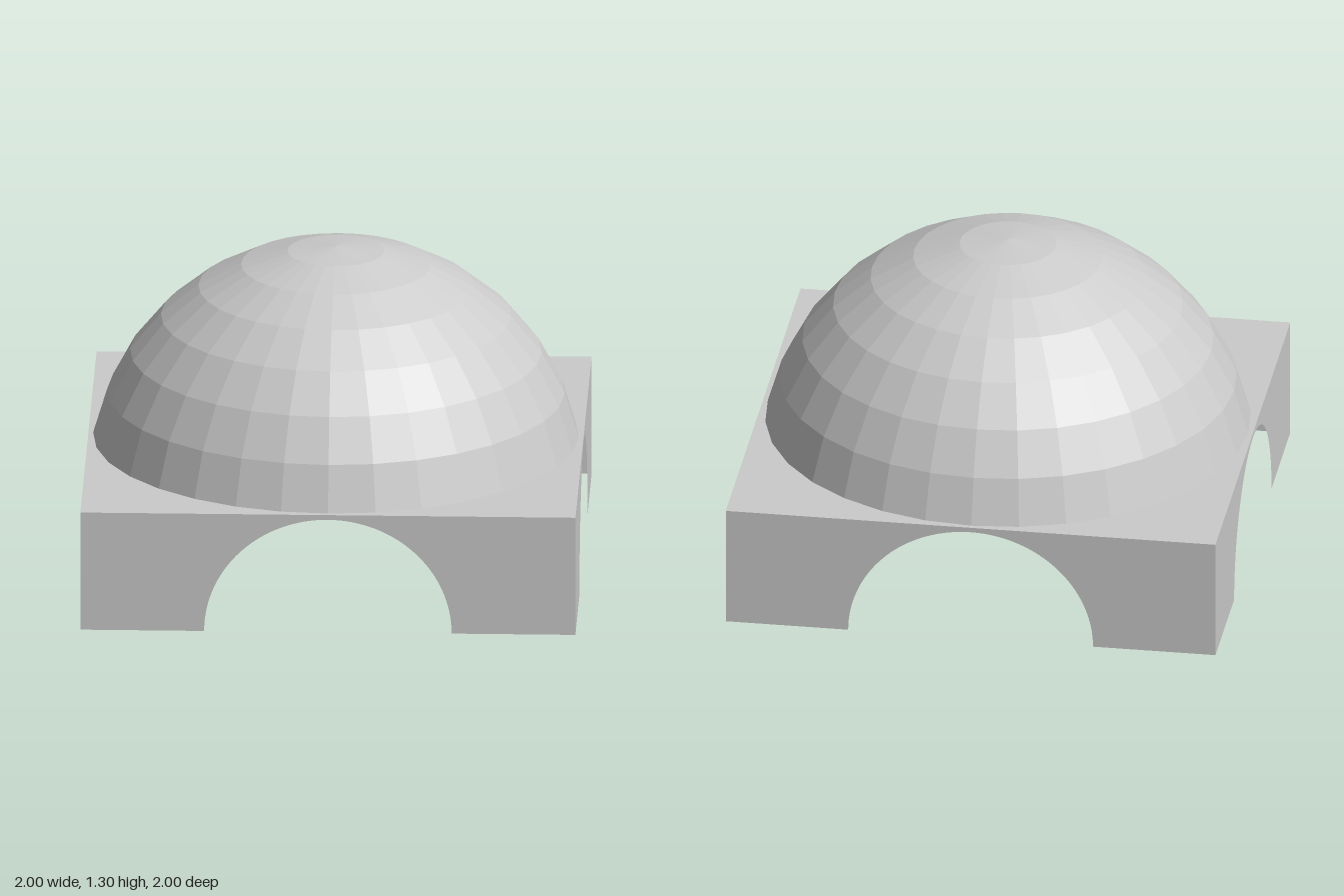
import * as THREE from 'three';

export function createModel() {
  const group = new THREE.Group();
  const material = new THREE.MeshStandardMaterial({
    color: 0xcccccc, flatShading: true, side: THREE.DoubleSide,
  });
  const plateY = 0.5;
  const sides = 32;
  const rimAngle = (7 * Math.PI) / 16;
  const rimRadius = Math.sin(rimAngle);

  const add = (name, geometry) => {
    const mesh = new THREE.Mesh(geometry, material);
    mesh.name = name;
    group.add(mesh);
    return mesh;
  };

  // Four thin walls, each with an arched opening
  const wall = new THREE.Shape();
  wall.moveTo(-1, 0);
  wall.lineTo(-0.5, 0);
  wall.absellipse(0, 0, 0.5, 0.48, Math.PI, 0, true);
  wall.lineTo(1, 0);
  wall.lineTo(1, plateY);
  wall.lineTo(-1, plateY);
  wall.closePath();
  const wallGeometry = new THREE.ShapeGeometry(wall, 32).translate(0, 0, 1);
  ['frontWall', 'leftWall', 'backWall', 'rightWall'].forEach((name, i) => {
    add(name, wallGeometry).rotation.y = (i * Math.PI) / 2;
  });

  // Square roof plate with a round opening under the dome
  const plate = new THREE.Shape([[-1, -1], [1, -1], [1, 1], [-1, 1]]
    .map(([x, y]) => new THREE.Vector2(x, y)));
  const rim = [];
  for (let i = 0; i < sides; i++) {
    const a = (-i / sides) * Math.PI * 2;
    rim.push(new THREE.Vector2(Math.cos(a) * rimRadius, Math.sin(a) * rimRadius));
  }
  plate.holes.push(new THREE.Path(rim));
  add('roofPlate', new THREE.ShapeGeometry(plate).rotateX(-Math.PI / 2).translate(0, plateY, 0));

  // Hollow faceted dome resting on the rim of the opening
  const dome = new THREE.SphereGeometry(1, sides, 7, 0, Math.PI * 2, 0, rimAngle);
  add('dome', dome.translate(0, plateY - Math.cos(rimAngle), 0));

  return group;
}
